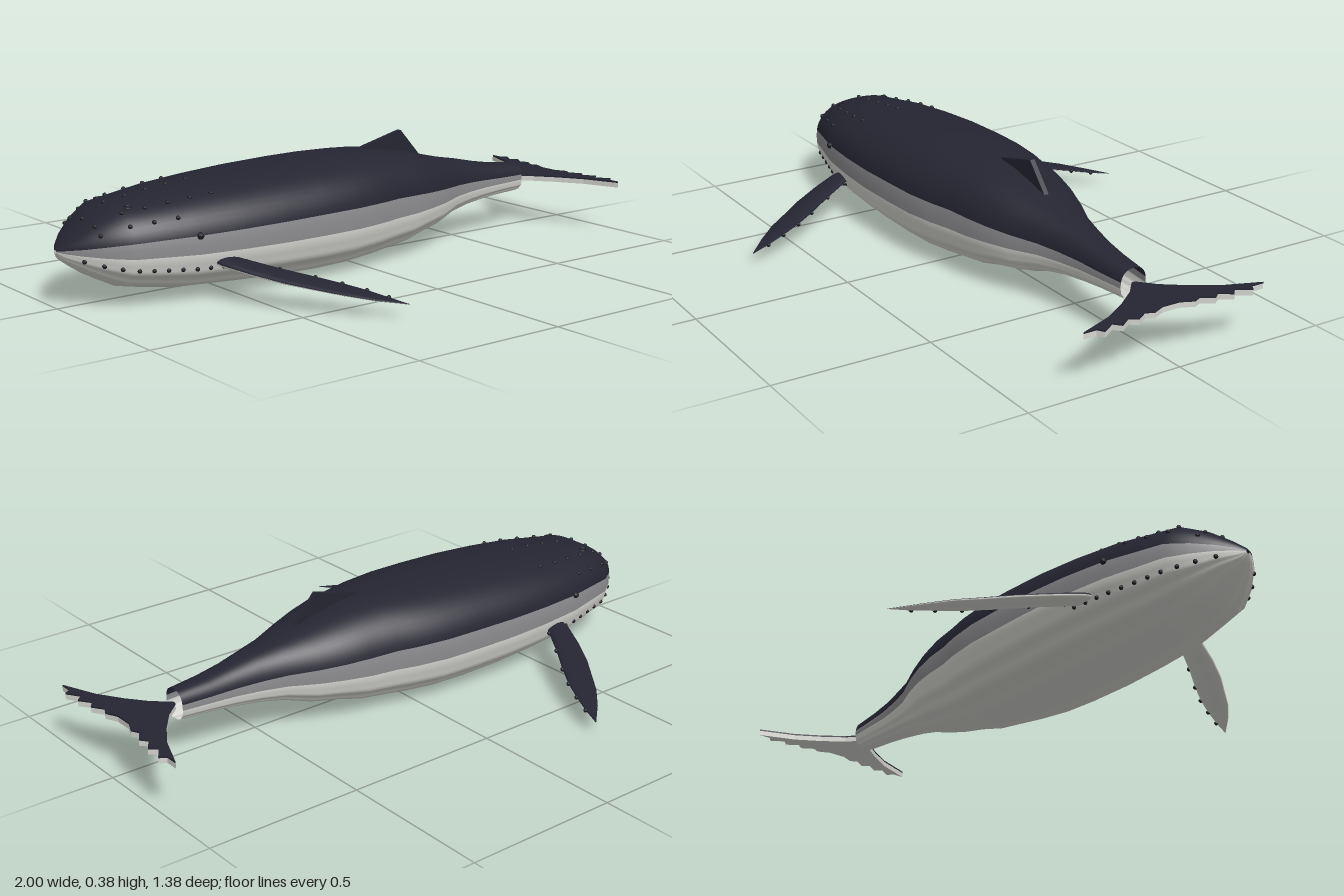
import * as THREE from 'three';

const paint = (name, color) => {
  const m = new THREE.MeshStandardMaterial({ color, side: THREE.DoubleSide });
  m.name = name;
  return m;
};

// Body stations: x, top y, bottom y, half width
const STATIONS = [
  [-1, 0.182, 0.172, 0.006], [-0.985, 0.2, 0.15, 0.035], [-0.95, 0.23, 0.125, 0.082],
  [-0.9, 0.268, 0.092, 0.13], [-0.84, 0.3, 0.062, 0.172], [-0.75, 0.312, 0.045, 0.194],
  [-0.65, 0.325, 0.03, 0.219], [-0.5, 0.338, 0.022, 0.236], [-0.35, 0.348, 0.014, 0.243],
  [-0.2, 0.354, 0.01, 0.24], [-0.08, 0.356, 0.012, 0.235], [0.03, 0.355, 0.02, 0.218],
  [0.1, 0.352, 0.026, 0.2], [0.19, 0.342, 0.037, 0.187], [0.27, 0.325, 0.058, 0.168],
  [0.35, 0.305, 0.07, 0.14], [0.44, 0.283, 0.098, 0.1], [0.52, 0.268, 0.112, 0.078],
  [0.6, 0.25, 0.12, 0.062], [0.68, 0.236, 0.127, 0.054], [0.78, 0.226, 0.131, 0.044],
];
const AXIS_Y = 0.178;

// Point on the body skin at x and angle (degrees, 0 = +z side, 90 = back)
function skin(x, deg) {
  let i = 0;
  while (i < STATIONS.length - 2 && STATIONS[i + 1][0] < x) i++;
  const p = STATIONS[i], q = STATIONS[i + 1];
  const t = (x - p[0]) / (q[0] - p[0]);
  const [, top, bottom, width] = p.map((v, k) => v + (q[k] - v) * t);
  const a = THREE.MathUtils.degToRad(deg), c = Math.cos(a), s = Math.sin(a);
  const soft = (v) => Math.sign(v) * Math.abs(v) ** 0.82;
  // shallow throat pleats on the underside
  const pleat = s < -0.25 ? 1 + 0.02 * Math.cos(14 * a) * Math.min(1, (-s - 0.25) * 4) : 1;
  const h = s > 0 ? top - AXIS_Y : AXIS_Y - bottom;
  return new THREE.Vector3(x, AXIS_Y + h * soft(s) * pleat, width * soft(c) * pleat);
}

// Skin closed rings of points; bands = [columns, material index] around the ring
function loft(rings, bands) {
  const n = rings[0].length, pos = [], index = [];
  rings.forEach((r) => r.forEach((p) => pos.push(p.x, p.y, p.z)));
  for (let j = 0; j < n; j++) {
    const k = (j + 1) % n;
    for (let i = 0; i < rings.length - 1; i++) {
      const a = i * n, b = a + n;
      index.push(a + j, b + j, a + k, b + j, b + k, a + k);
    }
  }
  const g = new THREE.BufferGeometry();
  g.setAttribute('position', new THREE.Float32BufferAttribute(pos, 3));
  g.setIndex(index);
  g.computeVertexNormals();
  const perColumn = (rings.length - 1) * 6;
  let start = 0;
  for (const [columns, mat] of bands) {
    g.addGroup(start, columns * perColumn, mat);
    start += columns * perColumn;
  }
  return g;
}

export function createModel() {
  const whale = new THREE.Group();
  whale.name = 'whale';
  const dark = paint('darkBack', 0x252532);
  const grey = paint('greyFlank', 0x8c8c8f);
  const pale = paint('paleBelly', 0xd6d6d1);
  const black = paint('knobBlack', 0x1b1b24);

  const add = (parent, name, geometry, material) => {
    const m = new THREE.Mesh(geometry, material);
    m.name = name;
    parent.add(m);
    return m;
  };
  const knobShape = new THREE.SphereGeometry(1, 8, 6);
  const knob = (parent, name, p, r) => {
    const m = add(parent, name, knobShape, black);
    m.position.copy(p);
    m.scale.setScalar(r);
  };

  // Body: dark back, grey flank stripe, pale belly, open at the tail end
  const angles = [];
  const bands = [];
  for (const [from, to, columns, mat] of [[10, 170, 24, 0], [170, 185, 2, 1], [185, 355, 48, 2], [355, 370, 2, 1]]) {
    for (let k = 0; k < columns; k++) angles.push(from + ((to - from) * k) / columns);
    bands.push([columns, mat]);
  }
  const rings = STATIONS.map(([x]) => angles.map((a) => skin(x, a)));
  add(whale, 'body', loft(rings, bands), [dark, grey, pale]);

  // Dorsal fin
  const fin = new THREE.Shape();
  fin.moveTo(0.08, 0.34);
  fin.lineTo(0.11, 0.356);
  fin.lineTo(0.2, 0.378);
  fin.lineTo(0.265, 0.394);
  fin.lineTo(0.345, 0.305);
  fin.lineTo(0.2, 0.3);
  const finGeo = new THREE.ExtrudeGeometry(fin, { depth: 0.016, bevelEnabled: false });
  finGeo.translate(0, 0, -0.008);
  add(whale, 'dorsalFin', finGeo, dark);

  // Tail fluke: ragged rear edge, pale slab with a dark top plate
  const half = [[0.78, 0.006], [0.83, 0.05], [0.88, 0.115], [0.93, 0.195], [0.975, 0.31],
    [0.975, 0.268], [0.996, 0.255], [0.968, 0.212], [0.99, 0.192], [0.964, 0.155],
    [0.982, 0.132], [0.958, 0.095], [0.97, 0.07], [0.952, 0.03]];
  const outline = [...half, ...half.map(([x, z]) => [x, -z]).reverse()];
  const flukeShape = new THREE.Shape(outline.map(([x, z]) => new THREE.Vector2(x, z)));
  const slab = (name, topY, depth, mat) => {
    const g = new THREE.ExtrudeGeometry(flukeShape, { depth, bevelEnabled: false });
    g.rotateX(Math.PI / 2);
    g.translate(0, topY, 0);
    add(whale, name, g, mat);
  };
  slab('flukeTop', 0.183, 0.005, dark);
  slab('flukeUnderside', 0.178, 0.016, pale);

  // Flippers: leading x, trailing x, y, z, half thickness
  const span = [[-0.6, -0.53, 0.128, 0.2, 0.015], [-0.596, -0.51, 0.122, 0.24, 0.015],
    [-0.555, -0.455, 0.107, 0.33, 0.013], [-0.505, -0.395, 0.092, 0.42, 0.011],
    [-0.455, -0.352, 0.081, 0.49, 0.009], [-0.405, -0.318, 0.071, 0.56, 0.007],
    [-0.345, -0.292, 0.06, 0.625, 0.005], [-0.272, -0.27, 0.051, 0.69, 0.001]];
  const flipperRings = span.map(([lead, trail, y, z, t]) =>
    Array.from({ length: 16 }, (_, k) => {
      const a = (k / 16) * Math.PI * 2;
      return new THREE.Vector3((lead + trail) / 2 - ((trail - lead) / 2) * Math.cos(a), y + t * Math.sin(a), z);
    }));
  const flipperGeo = loft(flipperRings, [[8, 0], [8, 1]]);
  for (const side of [1, -1]) {
    const flipper = new THREE.Group();
    flipper.name = side > 0 ? 'leftFlipper' : 'rightFlipper';
    flipper.scale.z = side;
    add(flipper, 'flipperBlade', flipperGeo, [dark, pale]);
    for (let i = 1; i < span.length - 1; i++) {
      const [, trail, y, z] = span[i];
      knob(flipper, 'flipperKnob', new THREE.Vector3(trail, y, z), 0.007);
    }
    whale.add(flipper);
  }

  // Head knobs, jaw knobs, eyes and blowholes, mirrored
  for (let i = 0; i < 6; i++) knob(whale, 'crownKnob', skin(-0.91 + 0.07 * i, 90), 0.007);
  for (const side of [1, -1]) {
    const at = (x, a) => skin(x, side > 0 ? a : 180 - a);
    for (let i = 0; i < 6; i++) {
      knob(whale, 'headKnob', at(-0.91 + 0.07 * i, 58), 0.007);
      if (i < 4) knob(whale, 'browKnob', at(-0.91 + 0.07 * i, 34), 0.007);
    }
    for (let i = 0; i < 11; i++) knob(whale, 'jawKnob', at(-0.95 + 0.042 * i, -21), 0.007);
    knob(whale, 'eye', at(-0.65, 10), 0.011);
    const hole = add(whale, 'blowhole', new THREE.TorusGeometry(0.01, 0.003, 6, 12), black);
    hole.position.copy(at(-0.81, 66));
    hole.rotation.x = Math.PI / 2 + side * 0.3;
  }
  return whale;
}
